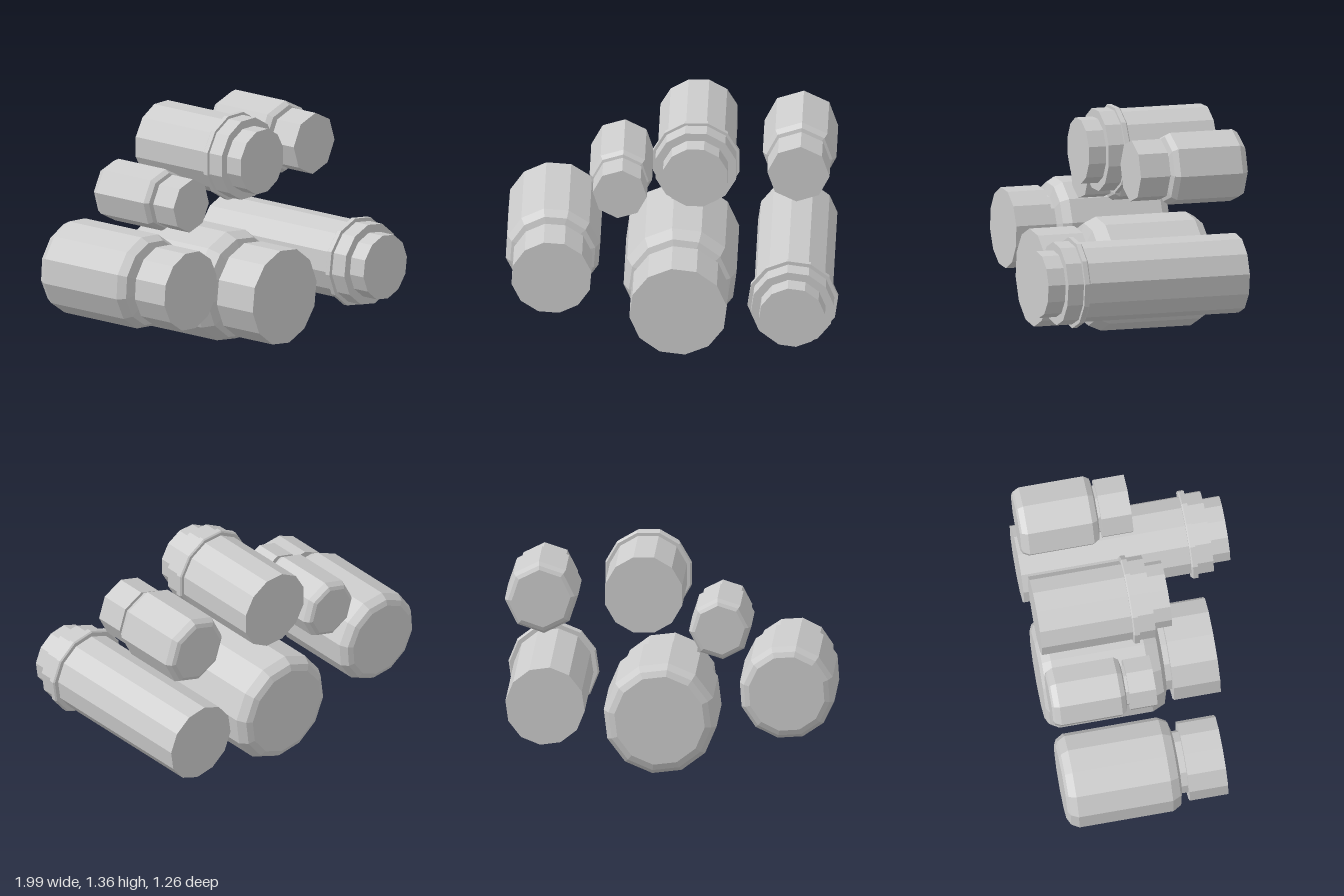
import * as THREE from 'three';

const material = new THREE.MeshStandardMaterial({ color: 0xcccccc, flatShading: true });
const BACK = -0.63;

// Faceted solid turned about the z axis; profile is [radius, z] from back to front.
function turned(name, profile, sides, angle) {
  const points = [[0, profile[0][1]], ...profile, [0, profile[profile.length - 1][1]]]
    .map(([r, z]) => new THREE.Vector2(r, z));
  const start = THREE.MathUtils.degToRad(angle + 90);
  const geometry = new THREE.LatheGeometry(points, sides, start).rotateX(Math.PI / 2);
  const mesh = new THREE.Mesh(geometry, material);
  mesh.name = name;
  return mesh;
}

// Jar: bevelled base, rounded shoulder, narrow neck and a plain lid.
function jar({ name, x, y, r, sides, angle, bevel, shoulder, neck, neckR, lid, lidR }) {
  const group = new THREE.Group();
  group.name = name;
  group.position.set(x, y, 0);
  const mid = shoulder + (neck - shoulder) * 0.75;
  group.add(
    turned('jarBody', [
      [r * 0.8, BACK], [r * 0.91, BACK + bevel * 0.25], [r, BACK + bevel],
      [r, shoulder], [r * 0.9, mid], [neckR, neck], [neckR, lid[0]],
    ], sides, angle),
    turned('jarLid', [[lidR, lid[0]], [lidR, lid[1]]], sides, angle),
  );
  return group;
}

// Tube: straight body, raised collar, wide band and a smaller cap.
function tube({ name, x, y, angle, front, collarR }) {
  const group = new THREE.Group();
  group.name = name;
  group.position.set(x, y, 0);
  const ring = (part, r, z0, z1) => turned(part, [[r, z0], [r, z1]], 12, angle);
  group.add(
    ring('tubeBody', 0.238, BACK, front),
    turned('tubeCollar', [
      [collarR - 0.008, front], [collarR, front + 0.008], [collarR, front + 0.037],
    ], 12, angle),
    ring('tubeBand', 0.249, front + 0.037, front + 0.135),
    ring('tubeCap', 0.199, front + 0.135, front + 0.243),
  );
  return group;
}

export function createModel() {
  const model = new THREE.Group();
  model.name = 'containers';

  const jars = [
    { name: 'rightJar', x: -0.715, y: 0.515, r: 0.287, sides: 12, angle: 11, bevel: 0.06,
      shoulder: 0, neck: 0.068, neckR: 0.19, lid: [0.107, 0.34], lidR: 0.242 },
    { name: 'largeJar', x: 0.042, y: 0.342, r: 0.34, sides: 12, angle: 8, bevel: 0.07,
      shoulder: 0.005, neck: 0.108, neckR: 0.225, lid: [0.143, 0.425], lidR: 0.293 },
    { name: 'smallJar', x: -0.317, y: 0.9, r: 0.187, sides: 8, angle: 40, bevel: 0.045,
      shoulder: -0.215, neck: -0.178, neckR: 0.125, lid: [-0.16, 0], lidR: 0.162 },
    { name: 'leftJar', x: 0.748, y: 1.08, r: 0.22, sides: 8, angle: 41, bevel: 0.045,
      shoulder: -0.195, neck: -0.152, neckR: 0.15, lid: [-0.137, 0.047], lidR: 0.186 },
  ];
  const tubes = [
    { name: 'lowerTube', x: 0.725, y: 0.423, angle: 7, front: 0.383, collarR: 0.272 },
    { name: 'upperTube', x: 0.137, y: 1.11, angle: 15, front: -0.078, collarR: 0.266 },
  ];
  jars.forEach((spec) => model.add(jar(spec)));
  tubes.forEach((spec) => model.add(tube(spec)));
  return model;
}
